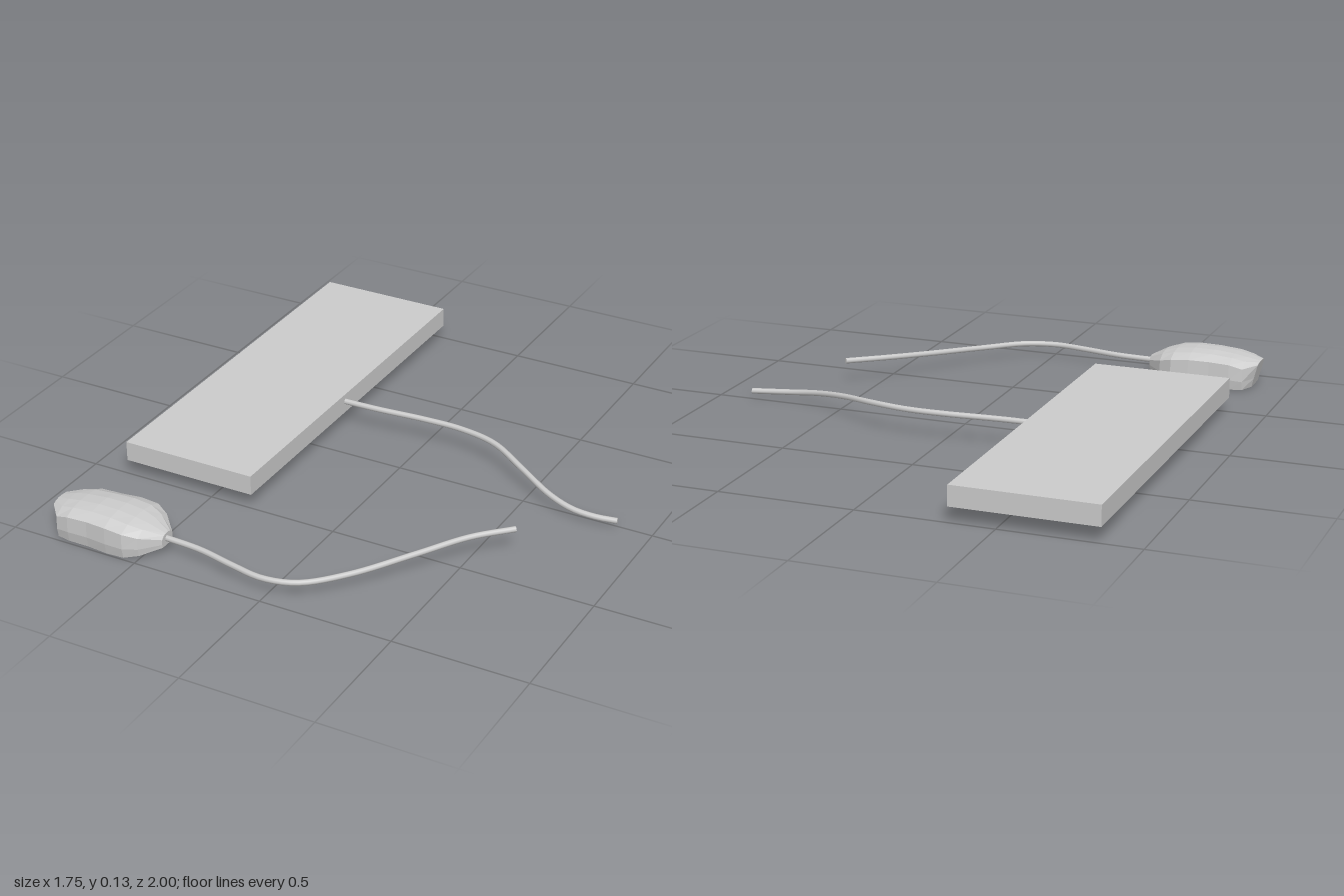
import * as THREE from 'three';

const grey = new THREE.MeshStandardMaterial({ color: 0xcccccc });
const facetedGrey = new THREE.MeshStandardMaterial({ color: 0xcccccc, flatShading: true });

function addMesh(parent, name, geometry, material = grey) {
  const mesh = new THREE.Mesh(geometry, material);
  mesh.name = name;
  parent.add(mesh);
  return mesh;
}

// Thin round lead with closed ends, swept along a smooth path
function addCable(parent, name, points, radius = 0.011) {
  const cable = new THREE.Group();
  cable.name = name;
  parent.add(cable);
  const path = new THREE.CatmullRomCurve3(points.map(p => new THREE.Vector3(...p)));
  addMesh(cable, name + 'Lead', new THREE.TubeGeometry(path, 48, radius, 8));
  for (const t of [0, 1]) {
    const cap = addMesh(cable, name + 'End', new THREE.CircleGeometry(radius, 8));
    cap.position.copy(path.getPointAt(t));
    const outward = path.getTangentAt(t).multiplyScalar(t ? 1 : -1);
    cap.quaternion.setFromUnitVectors(new THREE.Vector3(0, 0, 1), outward);
  }
}

// Faceted mouse shell, lofted through cross-sections along x
function mouseGeometry() {
  // x at floor, x at top, half width, floor, shoulder and crown heights
  const sections = [
    [-0.855, -0.88, 0.05, 0.003, 0.092, 0.101],
    [-0.83, -0.83, 0.104, 0.001, 0.084, 0.113],
    [-0.78, -0.78, 0.112, 0, 0.098, 0.122],
    [-0.7, -0.7, 0.112, 0, 0.102, 0.13],
    [-0.62, -0.62, 0.12, 0, 0.104, 0.13],
    [-0.55, -0.55, 0.12, 0.003, 0.098, 0.122],
    [-0.5, -0.5, 0.095, 0.012, 0.083, 0.108],
    [-0.44, -0.44, 0.033, 0.03, 0.062, 0.077],
  ];
  const rings = sections.map(([x0, x1, w, floor, shoulder, crown]) => {
    const half = [
      [0.94, floor],
      [1, floor + (shoulder - floor) * 0.4],
      [0.98, shoulder],
      [0.62, shoulder + (crown - shoulder) * 0.75],
      [0.22, crown],
    ];
    const outline = [
      ...half.map(([z, y]) => [-z, y]),
      ...half.slice().reverse(),
    ];
    return outline.map(([z, y]) => [
      x0 + (x1 - x0) * (y - floor) / (crown - floor), y, 0.88 + z * w,
    ]);
  });
  const n = rings[0].length;
  const index = [];
  for (let i = 0; i < rings.length - 1; i++) {
    for (let j = 0; j < n; j++) {
      const k = (j + 1) % n;
      const a = i * n + j, b = i * n + k;
      index.push(a, b, a + n, b, b + n, a + n);
    }
  }
  const last = (rings.length - 1) * n;
  for (let j = 1; j < n - 1; j++) {
    index.push(0, j + 1, j);
    index.push(last, last + j, last + j + 1);
  }
  const geometry = new THREE.BufferGeometry();
  geometry.setAttribute('position', new THREE.Float32BufferAttribute(rings.flat(2), 3));
  geometry.setIndex(index);
  geometry.computeVertexNormals();
  return geometry;
}

export function createModel() {
  const model = new THREE.Group();
  model.name = 'keyboardAndMouse';

  // Plain slab keyboard
  const keyboard = addMesh(model, 'keyboard', new THREE.BoxGeometry(0.525, 0.075, 1.5));
  keyboard.position.set(-0.595, 0.093, -0.25);

  addMesh(model, 'mouse', mouseGeometry(), facetedGrey);

  addCable(model, 'keyboardCable', [
    [-0.34, 0.1, -0.19], [-0.2, 0.1, -0.193], [0, 0.1, -0.207], [0.15, 0.1, -0.205],
    [0.3, 0.098, -0.17], [0.45, 0.08, -0.085], [0.6, 0.053, -0.005],
    [0.7, 0.037, 0.022], [0.79, 0.03, 0.022], [0.87, 0.028, 0.008],
  ]);

  addCable(model, 'mouseCable', [
    [-0.45, 0.055, 0.882], [-0.3, 0.055, 0.892], [-0.15, 0.055, 0.925],
    [-0.02, 0.055, 0.946], [0.1, 0.055, 0.915], [0.23, 0.058, 0.79],
    [0.38, 0.072, 0.59], [0.5, 0.085, 0.43], [0.62, 0.09, 0.315],
  ]);

  return model;
}
